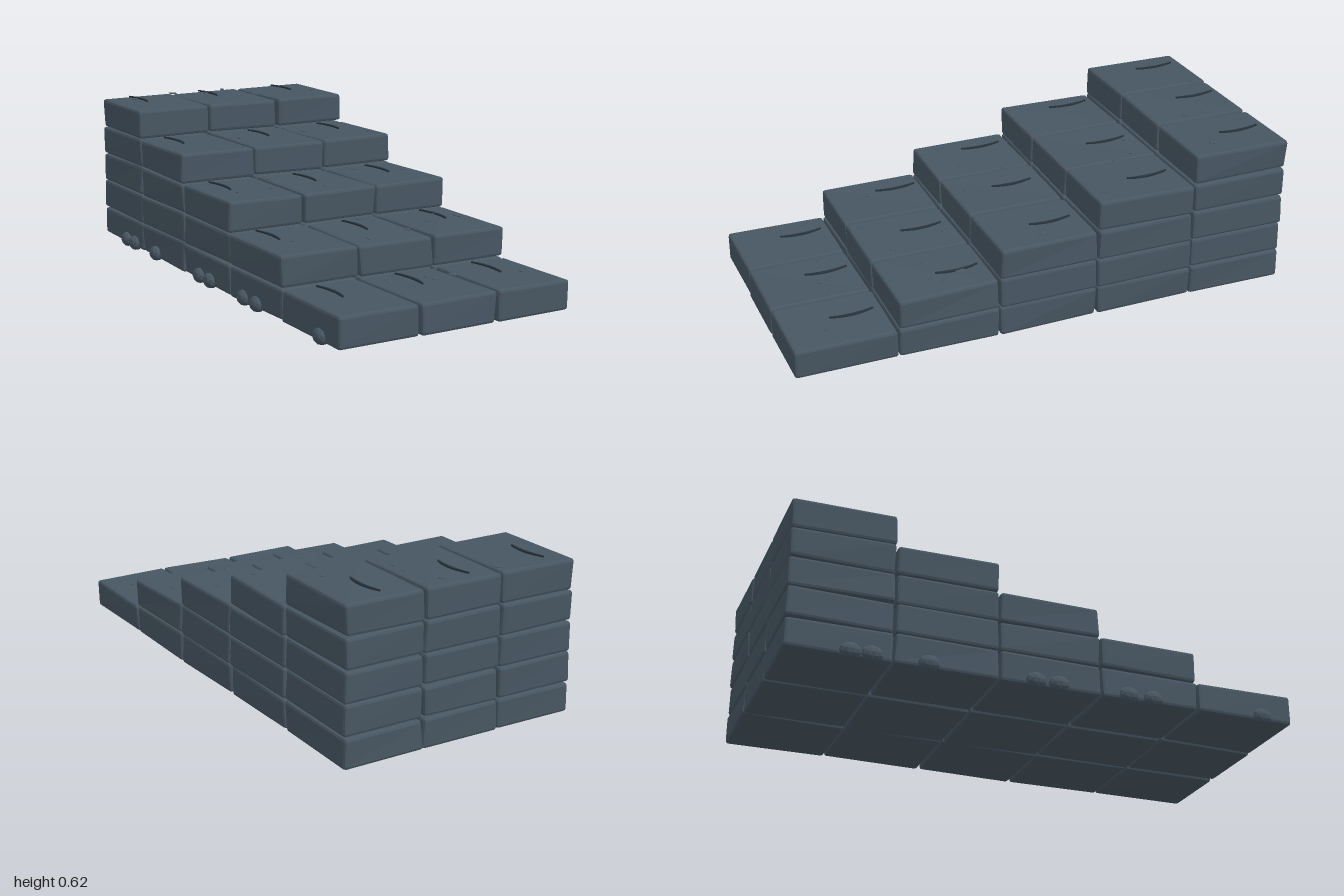
import * as THREE from 'three';
import { RoundedBoxGeometry } from 'three/addons/geometries/RoundedBoxGeometry.js';

const stone = new THREE.MeshStandardMaterial({ color: 0x475662, name: 'slateStone' });
const dark = new THREE.MeshStandardMaterial({ color: 0x2a343b, name: 'darkCrack' });

let seed = 11;
const jitter = (a) => {
  seed = (seed * 16807) % 2147483647;
  return (seed / 2147483647 * 2 - 1) * a;
};

// Step k spans 0.4 in z, counted from the front
const STEPS = 5, DEPTH = 0.4, RISE = 0.119, BASE = 0.011;
const COLUMNS = [-0.316, 0.01, 0.334];
const topOf = (k) => BASE + (k + 1) * RISE;

function addMesh(parent, name, geometry, material, x, y, z) {
  const mesh = new THREE.Mesh(geometry, material);
  mesh.name = name;
  mesh.position.set(x, y, z);
  parent.add(mesh);
  return mesh;
}

function facet(geometry) {
  const g = geometry.index ? geometry.toNonIndexed() : geometry;
  g.computeVertexNormals();
  return g;
}

// Chamfered block whose eight corners are nudged a little
function blockGeometry() {
  const w = 0.318, h = 0.116, d = 0.394;
  const g = new RoundedBoxGeometry(w, h, d, 1, 0.011);
  const corners = Array.from({ length: 8 }, () => [jitter(0.005), jitter(0.003), jitter(0.003)]);
  const p = g.attributes.position;
  for (let i = 0; i < p.count; i++) {
    const c = [p.getX(i), p.getY(i), p.getZ(i)];
    const index = (c[0] > 0 ? 1 : 0) + (c[1] > 0 ? 2 : 0) + (c[2] > 0 ? 4 : 0);
    p.setXYZ(i, ...c.map((v, a) => v + corners[index][a]));
  }
  return facet(g);
}

// Thin curved sliver, tapered at both ends
function crackGeometry() {
  const s = new THREE.Shape();
  s.moveTo(-0.012, 0.085);
  s.quadraticCurveTo(0.026, 0, -0.002, -0.085);
  s.lineTo(-0.008, -0.087);
  s.quadraticCurveTo(0.008, 0, -0.016, 0.083);
  const g = new THREE.ExtrudeGeometry(s, { depth: 0.006, bevelEnabled: false, curveSegments: 6 });
  return g.rotateX(-Math.PI / 2);
}

// Crack centres (x, z) for each step, front to back
const CRACKS = [
  [[-0.345, 0.725], [-0.01, 0.72], [0.33, 0.725]],
  [[-0.365, 0.31], [0, 0.33], [0.365, 0.32]],
  [[-0.37, -0.07], [0, -0.055], [0.35, -0.065]],
  [[-0.375, -0.47], [0.01, -0.46], [0.355, -0.47]],
  [[-0.357, -0.865], [-0.02, -0.875], [0.345, -0.87]],
];

// Chips (x, z, radius) for each step, front to back
const CHIPS = [
  [[-0.1, 0.715, 0.023], [0.055, 0.73, 0.018], [0.06, 0.768, 0.015], [0.155, 0.75, 0.024], [0.4, 0.84, 0.015]],
  [[0.06, 0.255, 0.019], [0.375, 0.315, 0.022], [0.27, 0.41, 0.022], [0.425, 0.39, 0.018],
    [0.125, 0.49, 0.018], [-0.08, 0.54, 0.015], [-0.34, 0.435, 0.016]],
  [[-0.145, -0.085, 0.022], [0.255, -0.1, 0.02], [0.425, 0.005, 0.021], [-0.37, 0.06, 0.015],
    [-0.225, 0.07, 0.018], [-0.02, 0.14, 0.015]],
  [[-0.125, -0.395, 0.013], [0.025, -0.535, 0.017], [0.15, -0.5, 0.015], [0.195, -0.42, 0.025], [0.42, -0.26, 0.015]],
  [[-0.38, -0.87, 0.023], [-0.165, -0.945, 0.023], [-0.025, -0.895, 0.017], [0.08, -0.95, 0.012],
    [0.14, -0.825, 0.015], [0.135, -0.745, 0.017], [0.41, -0.715, 0.015]],
];

const PEBBLES = [-0.76, -0.68, -0.47, -0.06, 0.03, 0.31, 0.41, 0.87];

export function createModel() {
  const model = new THREE.Group();
  model.name = 'stoneStairs';
  const crack = crackGeometry();
  const pebble = facet(new THREE.IcosahedronGeometry(1, 1));

  for (let k = 0; k < STEPS; k++) {
    // Each layer runs from its tread to the back
    const layer = new THREE.Group();
    layer.name = `layer${k + 1}`;
    model.add(layer);
    for (let row = k; row < STEPS; row++) {
      for (const x of COLUMNS) {
        addMesh(layer, 'stoneBlock', blockGeometry(), stone, x, topOf(k) - RISE / 2, 0.8 - row * DEPTH);
      }
    }
    // Cracks and chips just above the tread
    for (const [x, z] of CRACKS[k]) addMesh(layer, 'crack', crack, dark, x, topOf(k) + 0.005, z);
    for (const [x, z, r] of CHIPS[k]) {
      const chip = addMesh(layer, 'chip', pebble, stone, x, topOf(k) + 0.008, z);
      chip.scale.set(r * 0.68, 0.003, r);
      chip.rotation.y = jitter(0.3);
    }
  }

  // Pebbles along the right foot
  for (const z of PEBBLES) {
    addMesh(model, 'pebble', pebble, stone, -0.474, 0.031, z).scale.set(0.026, 0.031, 0.041);
  }
  return model;
}
